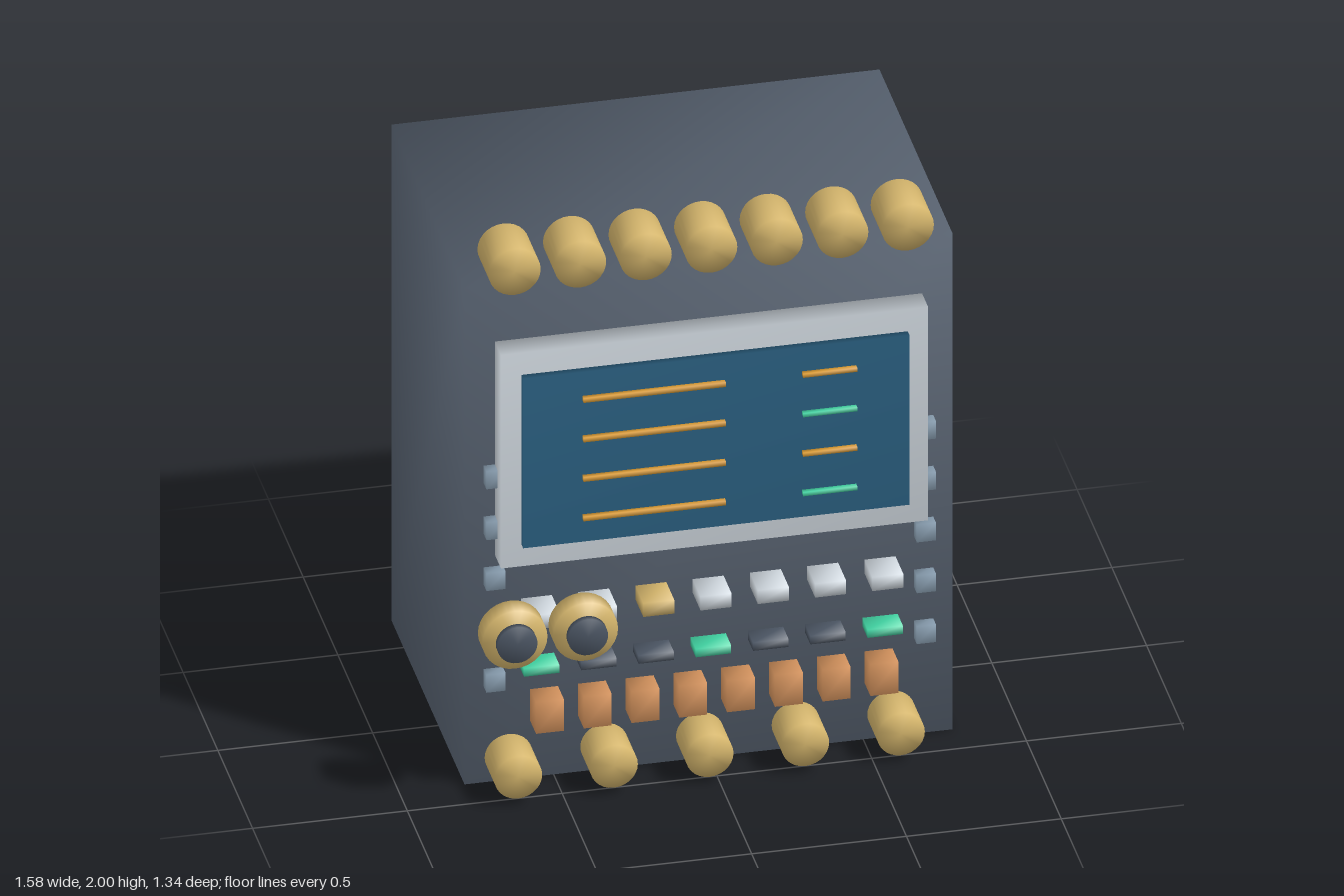
import * as THREE from 'three';
import { mergeVertices } from 'three/addons/utils/BufferGeometryUtils.js';

const mat = (name, color) => {
  const m = new THREE.MeshStandardMaterial({ color });
  m.name = name;
  return m;
};

// Weld the corners so that normals run smoothly across every edge
function soften(geometry) {
  geometry.deleteAttribute('normal');
  geometry.deleteAttribute('uv');
  const g = mergeVertices(geometry, 1e-4);
  g.computeVertexNormals();
  return g;
}

export function createModel() {
  const slate = mat('slate', 0x5b6675);
  const silver = mat('silver', 0xcdd5dc);
  const glass = mat('screenBlue', 0x2a5f80);
  const amber = mat('amber', 0xd99a30);
  const green = mat('green', 0x40d0a0);
  const gold = mat('gold', 0xd4b56c);
  const copper = mat('copper', 0xde9a62);
  const steel = mat('steelBlue', 0x8fa5b8);
  const dark = mat('darkGrey', 0x4b5563);

  const model = new THREE.Group();
  model.name = 'controlConsole';

  const group = (name) => {
    const g = new THREE.Group();
    g.name = name;
    model.add(g);
    return g;
  };
  const add = (parent, name, geometry, material, x, y, z) => {
    const mesh = new THREE.Mesh(geometry, material);
    mesh.name = name;
    mesh.position.set(x, y, z);
    parent.add(mesh);
  };
  // Box and forward-facing cylinder, both reaching from z0 to z1
  const box = (parent, name, material, x, y, w, h, z0, z1) =>
    add(parent, name, soften(new THREE.BoxGeometry(w, h, z1 - z0)), material, x, y, (z0 + z1) / 2);
  const knob = (parent, name, material, x, y, r, z0, z1) =>
    add(parent, name, soften(new THREE.CylinderGeometry(r, r, z1 - z0, 28).rotateX(Math.PI / 2)),
      material, x, y, (z0 + z1) / 2);

  // Cabinet
  box(model, 'cabinet', slate, 0, 0.905, 1.576, 1.81, -0.672, 0.378);

  // Display
  const display = group('display');
  box(display, 'bezel', silver, 0, 1.214, 1.38, 0.778, 0.378, 0.466);
  box(display, 'screen', glass, 0, 1.214, 1.248, 0.618, 0.462, 0.492);
  for (let i = 0; i < 4; i++) {
    const y = 1.432 - i * 0.144;
    box(display, 'longReadout', amber, -0.204, y, 0.46, 0.016, 0.497, 0.515);
    box(display, 'shortReadout', i % 2 ? green : amber, 0.363, y, 0.175, 0.014, 0.497, 0.515);
  }

  // Knobs along the top and bottom
  const topKnobs = group('topKnobs');
  for (let i = 0; i < 7; i++) knob(topKnobs, 'topKnob', gold, -0.651 + i * 0.2117, 1.916, 0.084, 0.327, 0.49);
  const bottomKnobs = group('bottomKnobs');
  for (let i = 0; i < 5; i++) knob(bottomKnobs, 'bottomKnob', gold, -0.651 + i * 0.309, 0.102, 0.077, 0.4, 0.543);

  // Two large dials with separate caps
  const dials = group('dials');
  for (const x of [-0.683, -0.455]) {
    knob(dials, 'dial', gold, x, 0.661, 0.105, 0.569, 0.637);
    knob(dials, 'dialCap', dark, x, 0.661, 0.065, 0.65, 0.672);
  }

  // Selector keys and indicator lamps
  const keys = group('keys');
  for (let i = 0; i < 7; i++) {
    const x = -0.556 + i * 0.185;
    box(keys, 'selectorKey', i === 2 ? gold : silver, x, 0.63, 0.1, 0.05, 0.378, 0.492);
    box(keys, 'indicatorLamp', i % 3 === 0 ? green : dark, x, 0.429, 0.114, 0.03, 0.378, 0.455);
  }

  // Lower push buttons
  const buttons = group('pushButtons');
  for (let i = 0; i < 8; i++) box(buttons, 'pushButton', copper, -0.54 + i * 0.1543, 0.287, 0.09, 0.115, 0.418, 0.503);

  // Small blocks down both edges
  const blocks = group('edgeBlocks');
  for (const side of [-1, 1]) {
    for (let i = 0; i < 5; i++) box(blocks, 'edgeBlock', steel, side * 0.695, 1.123 - i * 0.1855, 0.062, 0.064, 0.378, 0.418);
  }

  return model;
}
